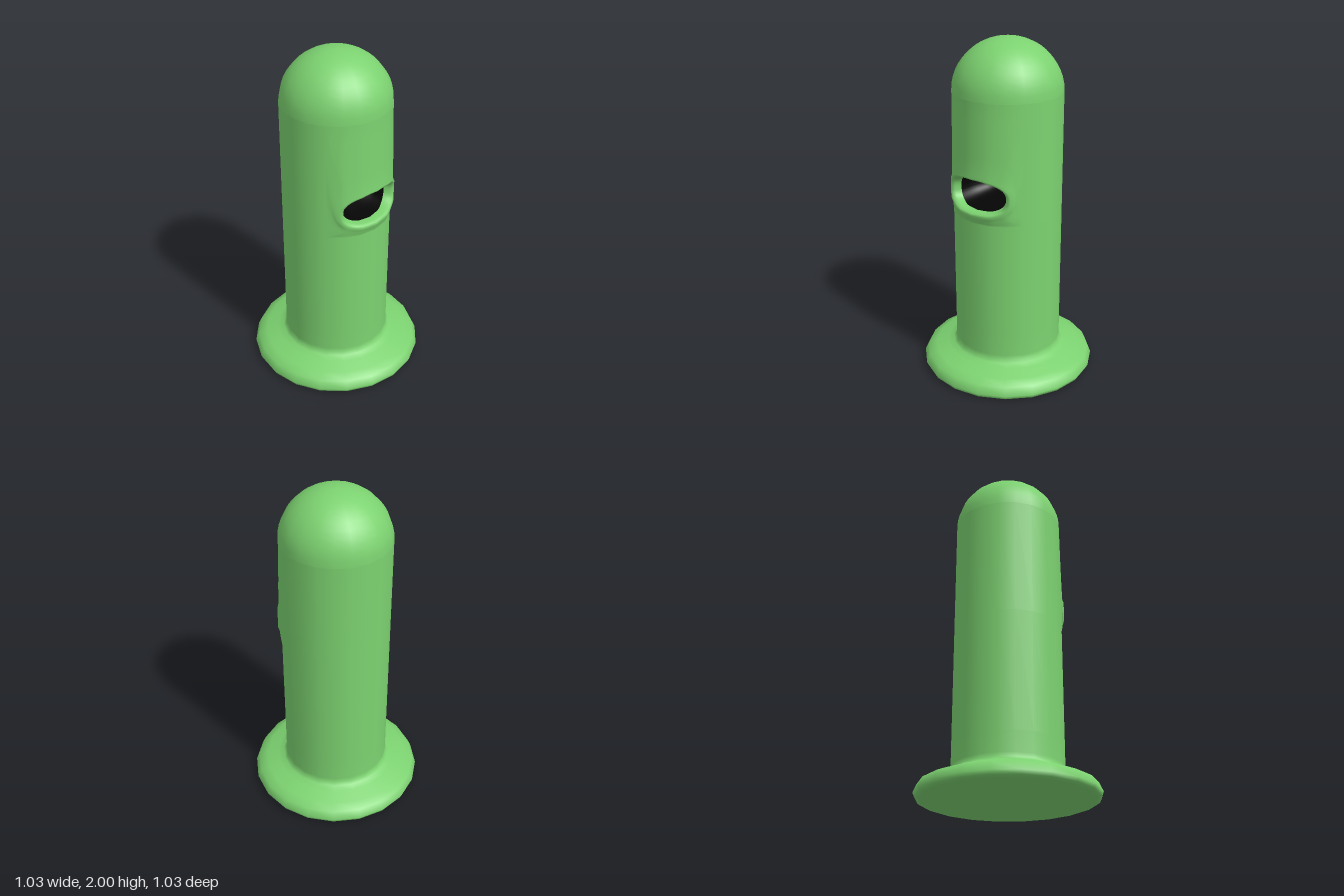
import * as THREE from 'three';

const R = 0.315;                 // body radius
const SIDES = 20;
const STEP = (Math.PI * 2) / SIDES;
const PATCH = STEP * 3;          // half angle of the front panel round the mouth
const PATCH_LOW = 1.0, PATCH_HIGH = 1.7;
const MOUTH_Y = 1.165;

const green = new THREE.MeshStandardMaterial({ color: 0x7cd270 });
const black = new THREE.MeshStandardMaterial({ color: 0x050505, side: THREE.DoubleSide });

function addMesh(group, name, geometry, material = green) {
  const mesh = new THREE.Mesh(geometry, material);
  mesh.name = name;
  group.add(mesh);
  return mesh;
}

function lathe(profile, start = 0, length = Math.PI * 2) {
  const points = profile.map(([x, y]) => new THREE.Vector2(x, y));
  return new THREE.LatheGeometry(points, Math.round(length / STEP), start, length);
}

// Point on the faceted body wall, pushed out by an offset
function wallPoint(theta, y, offset) {
  const local = theta - (Math.floor(theta / STEP) + 0.5) * STEP;
  const r = (R * Math.cos(STEP / 2)) / Math.cos(local) + offset;
  return new THREE.Vector3(r * Math.sin(theta), y, r * Math.cos(theta));
}

// Counter-clockwise points of a unit square, 12 per side
function squareLoop() {
  const loop = [];
  for (let side = 0; side < 4; side++) {
    for (let i = 0; i < 12; i++) {
      const p = new THREE.Vector2(1, -1 + i / 6);
      loop.push(p.rotateAround(new THREE.Vector2(), (side * Math.PI) / 2));
    }
  }
  return loop;
}

// Mouth outline grown by a margin, as angle and height on the wall
function mouthPoint(p, margin) {
  const a = Math.atan2(p.y, p.x);
  const c = Math.cos(a), s = Math.sin(a);
  const power = s > 0 ? 0.85 : 0.7;
  const x = Math.sign(c) * Math.abs(c) ** power * (0.185 + margin);
  const y = Math.sign(s) * Math.abs(s) ** power * ((s > 0 ? 0.092 : 0.096) + margin);
  return { theta: Math.asin(x / R), y: MOUTH_Y + y };
}

// Skin a list of closed rings, outermost first
function loft(rings) {
  const n = rings[0].length;
  const index = [];
  for (let k = 0; k < rings.length - 1; k++) {
    for (let i = 0; i < n; i++) {
      const j = (i + 1) % n;
      const a = k * n + i, b = k * n + j, c = (k + 1) * n + j, d = (k + 1) * n + i;
      index.push(a, b, c, a, c, d);
    }
  }
  const geometry = new THREE.BufferGeometry().setFromPoints(rings.flat());
  geometry.setIndex(index);
  geometry.computeVertexNormals();
  return geometry;
}

export function createModel() {
  const group = new THREE.Group();
  const loop = squareLoop();

  // Flared foot running up into the lower wall
  addMesh(group, 'footAndLowerBody', lathe([
    [0.485, 0], [0.505, 0.008], [0.515, 0.03], [0.493, 0.078], [0.44, 0.1],
    [0.37, 0.124], [0.333, 0.138], [0.318, 0.155], [R, 0.18], [R, 0.3], [R, PATCH_LOW],
  ]));
  const underside = addMesh(group, 'underside', new THREE.CircleGeometry(0.485, SIDES));
  underside.rotation.x = Math.PI / 2;

  // Wall behind and beside the mouth panel
  addMesh(group, 'upperBody',
    lathe([[R, PATCH_LOW], [R, PATCH_HIGH]], PATCH, Math.PI * 2 - PATCH * 2));

  // Rounded head
  const dome = [];
  for (let i = 0; i <= 12; i++) {
    const a = (i / 12) * (Math.PI / 2);
    dome.push([i === 12 ? 0 : R * Math.cos(a), PATCH_HIGH + (2 - PATCH_HIGH) * Math.sin(a)]);
  }
  addMesh(group, 'head', lathe(dome));

  // Front panel swelling gently towards the lips
  const lerp = THREE.MathUtils.lerp;
  const rings = [];
  for (let k = 0; k < 5; k++) {
    const t = k / 4;
    rings.push(loop.map((p) => {
      const m = mouthPoint(p, 0.035);
      const edgeY = lerp(PATCH_LOW, PATCH_HIGH, (p.y + 1) / 2);
      return wallPoint(lerp(p.x * PATCH, m.theta, t), lerp(edgeY, m.y, t), 0.012 * t);
    }));
  }
  // Lip rolled over into the opening
  for (const [margin, offset] of [[0.018, 0.02], [0.006, 0.014], [0, -0.004], [0, -0.04]]) {
    rings.push(loop.map((p) => {
      const m = mouthPoint(p, margin);
      return wallPoint(m.theta, m.y, offset);
    }));
  }
  const panel = loft(rings);
  const normals = panel.attributes.normal;
  loop.forEach((p, i) => normals.setXYZ(i, Math.sin(p.x * PATCH), 0, Math.cos(p.x * PATCH)));
  addMesh(group, 'facePanelAndLips', panel);

  // Dark pocket inside the mouth
  const edge = rings[rings.length - 1];
  const pocket = [];
  for (let k = 0; k <= 6; k++) {
    const a = (k / 6) * (Math.PI / 2);
    const s = Math.cos(a);
    pocket.push(edge.map((v) => new THREE.Vector3(
      v.x * s, MOUTH_Y + (v.y - MOUTH_Y) * s, lerp(v.z, 0, Math.sin(a)))));
  }
  addMesh(group, 'mouthInside', loft(pocket), black);

  return group;
}
